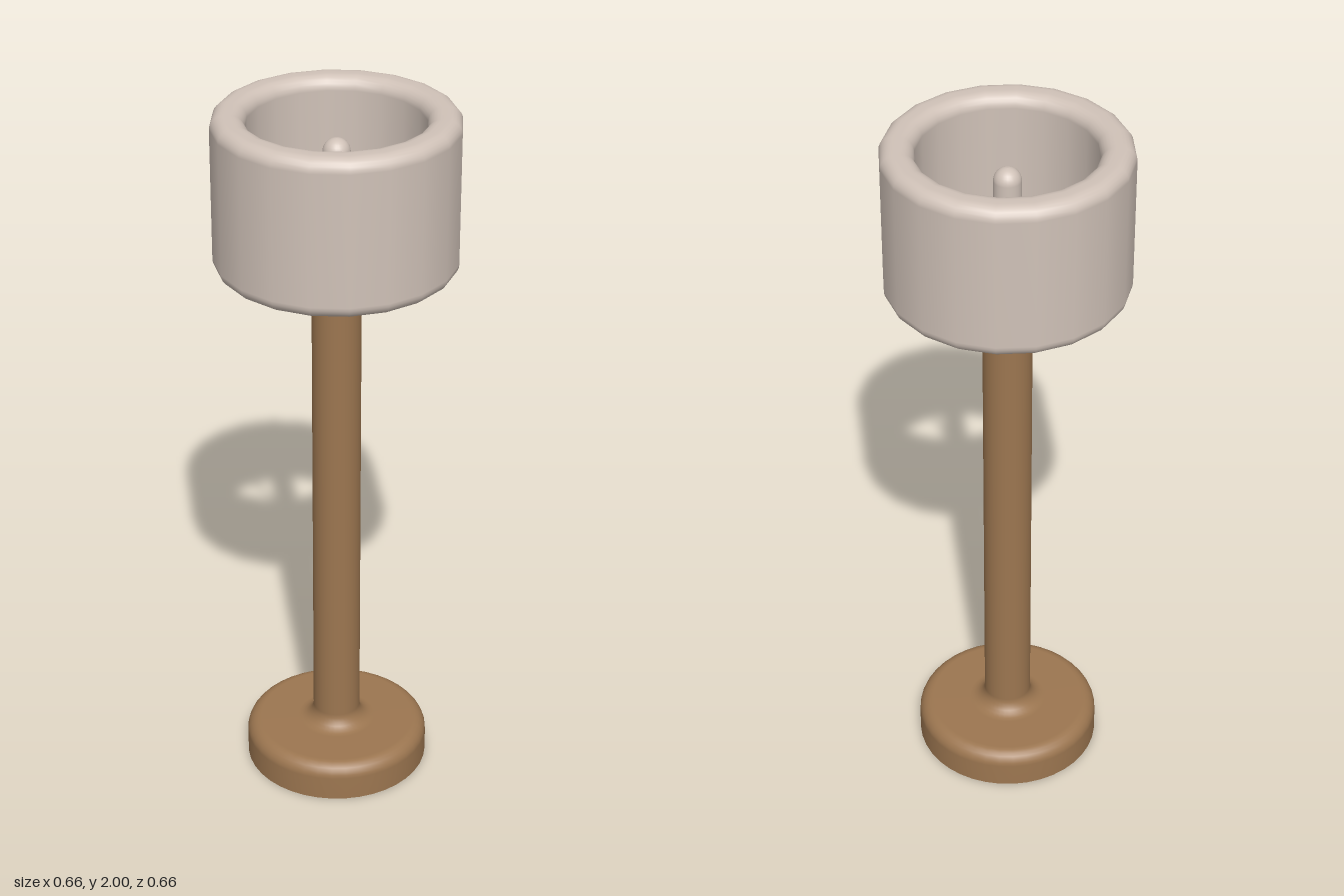
import * as THREE from 'three';

const wood = new THREE.MeshStandardMaterial({ color: 0x9c7650 });
const fabric = new THREE.MeshStandardMaterial({ color: 0xd0c2b8 });

// Points of a quarter-round corner, angles in degrees
function arc(cx, cy, r, from, to, n = 6) {
  const pts = [];
  for (let i = 0; i <= n; i++) {
    const a = THREE.MathUtils.degToRad(from + ((to - from) * i) / n);
    pts.push(new THREE.Vector2(Math.max(0, cx + r * Math.cos(a)), cy + r * Math.sin(a)));
  }
  return pts;
}

function add(parent, name, geometry, material) {
  const mesh = new THREE.Mesh(geometry, material);
  mesh.name = name;
  parent.add(mesh);
  return mesh;
}

export function createModel() {
  const lamp = new THREE.Group();
  lamp.name = 'floorLamp';

  // Round base flowing through a fillet into the post, with a domed post top
  const stand = [
    new THREE.Vector2(0.26, 0),
    ...arc(0.22, 0.07, 0.04, 0, 90),
    ...arc(0.112, 0.155, 0.045, 270, 180),
    ...arc(0.037, 1.62, 0.03, 0, 90),
    new THREE.Vector2(0, 1.65),
  ];
  add(lamp, 'baseAndPost', new THREE.LatheGeometry(stand, 40), wood);
  add(lamp, 'baseUnderside', new THREE.CircleGeometry(0.26, 40), wood).rotation.x = Math.PI / 2;

  // Thick hollow drum shade with rounded rims
  const rIn = 0.237, rOut = 0.328, low = 1.563, high = 2, r = 0.036;
  const drum = [
    ...arc(rIn + r, low + r, r, 180, 270),
    ...arc(rOut - r, low + r, r, 270, 360),
    ...arc(rOut - r, high - r, r, 0, 90),
    ...arc(rIn + r, high - r, r, 90, 180),
    new THREE.Vector2(rIn, low + r),
  ];
  add(lamp, 'shade', new THREE.LatheGeometry(drum, 20), fabric);

  // Slender bulb on top of the post
  const bulb = [new THREE.Vector2(0.037, 1.63), ...arc(0, 1.89, 0.037, 0, 90, 8)];
  add(lamp, 'bulb', new THREE.LatheGeometry(bulb, 24), fabric);

  // Four thin spokes rising from the post to the shade
  const up = new THREE.Vector3(0, 1, 0);
  for (const degrees of [0, 84, 180, 264]) {
    const a = THREE.MathUtils.degToRad(degrees);
    const at = (radius, y) => new THREE.Vector3(radius * Math.cos(a), y, -radius * Math.sin(a));
    const start = at(0.055, 1.61), end = at(0.25, 1.73);
    const length = start.distanceTo(end);
    const spoke = add(lamp, 'shadeSpoke', new THREE.CylinderGeometry(0.0065, 0.0065, length, 8), wood);
    spoke.position.copy(start).lerp(end, 0.5);
    spoke.quaternion.setFromUnitVectors(up, end.sub(start).normalize());
  }
  return lamp;
}
